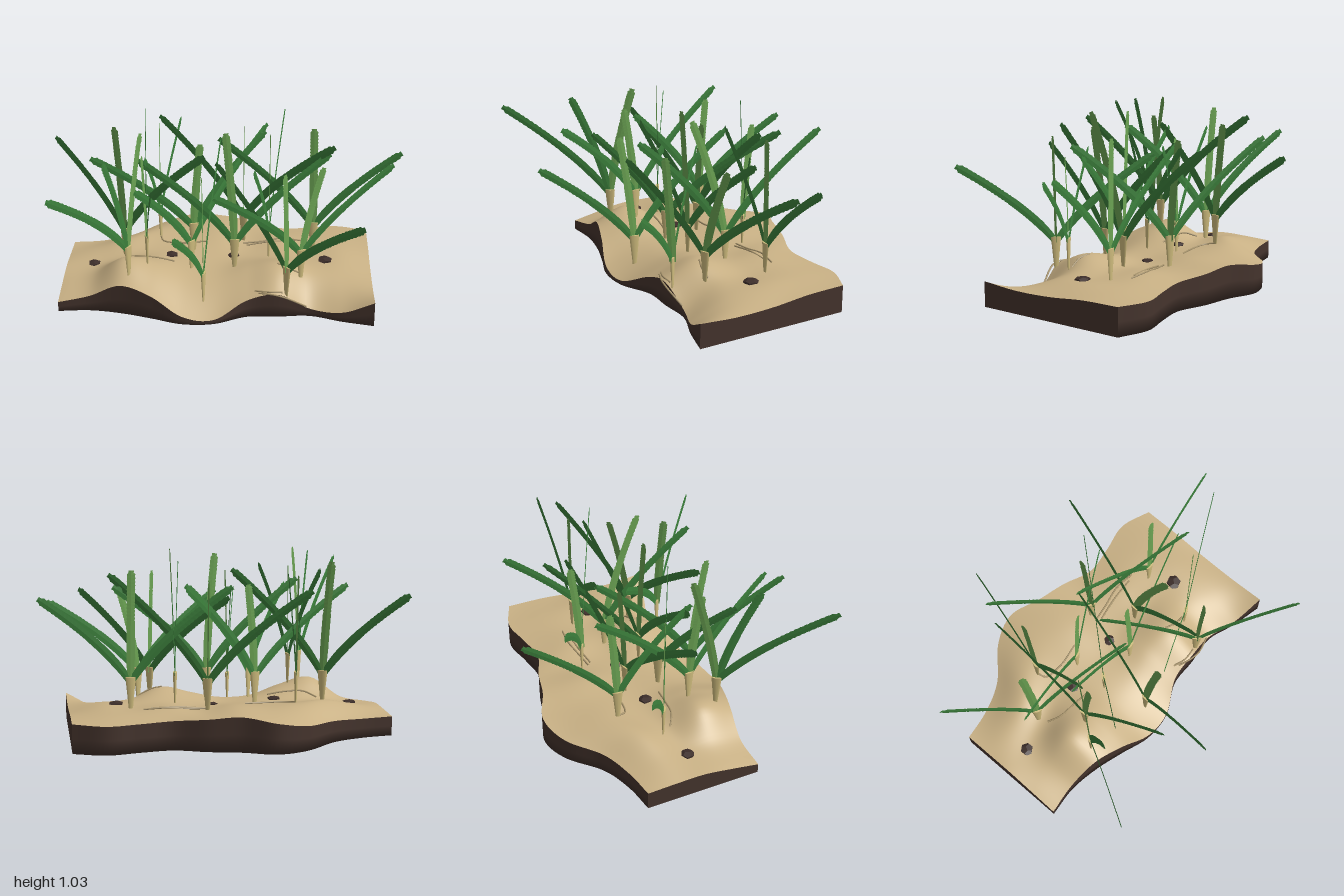
import * as THREE from 'three';
import { mergeGeometries, mergeVertices } from 'three/addons/utils/BufferGeometryUtils.js';

const mat = (name, color, side = THREE.FrontSide) => {
  const m = new THREE.MeshStandardMaterial({ color, side });
  m.name = name;
  return m;
};
const sand = mat('sand', 0xc9b185);
const soil = mat('soil', 0x45342d);
const green = mat('leafGreen', 0x3c803c, THREE.DoubleSide);
const light = mat('youngLeafGreen', 0x6ba353, THREE.DoubleSide);
const sheathMat = mat('sheath', 0xd0bd7e);
const rootMat = mat('root', 0xa8946c);
const stoneMat = mat('stone', 0x3d2e2a);

// Uniform Catmull-Rom through a short row of values, u in 0..1
function spline(a, u) {
  const n = a.length - 1, f = Math.min(Math.max(u, 0), 1) * n;
  const i = Math.min(Math.floor(f), n - 1), t = f - i;
  const p1 = a[i], p2 = a[i + 1];
  const p0 = i > 0 ? a[i - 1] : 2 * p1 - p2, p3 = i + 2 <= n ? a[i + 2] : 2 * p2 - p1;
  return p1 + 0.5 * t * (p2 - p0 + t * (2 * p0 - 5 * p1 + 4 * p2 - p3 + t * (3 * (p1 - p2) + p3 - p0)));
}

// Ground outline and heights, sampled evenly along x
const X0 = -0.9, X1 = 0.825, FLOOR = 0.045;
const backZ = [-0.36, -0.39, -0.46, -0.61, -0.665, -0.6, -0.56, -0.5, -0.52, -0.55, -0.49];
const frontZ = [0.28, 0.265, 0.29, 0.34, 0.395, 0.385, 0.3, 0.29, 0.275, 0.33, 0.37];
const heights = [ // rows from back to front
  [0.15, 0.15, 0.16, 0.175, 0.205, 0.23, 0.215, 0.2, 0.195, 0.195, 0.2],
  [0.155, 0.19, 0.23, 0.235, 0.23, 0.235, 0.21, 0.225, 0.215, 0.21, 0.195],
  [0.155, 0.17, 0.2, 0.21, 0.21, 0.2, 0.2, 0.215, 0.205, 0.21, 0.175],
  [0.13, 0.17, 0.285, 0.25, 0.19, 0.18, 0.225, 0.26, 0.2, 0.18, 0.17],
  [0.1, 0.135, 0.215, 0.18, 0.09, 0.07, 0.145, 0.18, 0.09, 0.1, 0.185],
];
function ground(u, t) {
  const zb = spline(backZ, u), zf = spline(frontZ, u);
  return [X0 + (X1 - X0) * u, spline(heights.map(r => spline(r, u)), t), zb + (zf - zb) * t];
}
function groundY(x, z) {
  const u = (x - X0) / (X1 - X0), zb = spline(backZ, u), zf = spline(frontZ, u);
  return ground(u, (z - zb) / (zf - zb))[1];
}

// Grid surface from a rule f(u, v)
function sheet(f, nu, nv) {
  const pos = [], idx = [];
  for (let j = 0; j <= nv; j++) for (let i = 0; i <= nu; i++) pos.push(...f(i / nu, j / nv));
  for (let j = 0; j < nv; j++) for (let i = 0; i < nu; i++) {
    const a = j * (nu + 1) + i, b = a + 1, c = a + nu + 1, d = c + 1;
    idx.push(a, c, b, b, c, d);
  }
  const g = new THREE.BufferGeometry();
  g.setAttribute('position', new THREE.Float32BufferAttribute(pos, 3));
  g.setIndex(idx);
  g.computeVertexNormals();
  return g;
}
function add(parent, name, geo, material) {
  const m = new THREE.Mesh(geo, material);
  m.name = name;
  parent.add(m);
  return m;
}

function buildGround(root) {
  const g = new THREE.Group();
  g.name = 'seabed';
  root.add(g);
  add(g, 'sandTop', sheet(ground, 80, 48), sand);
  // Walls are welded to the underside so the long edges shade softly
  const drop = (p, v) => [p[0], p[1] + (FLOOR - p[1]) * v, p[2]];
  const long = [
    sheet((u, v) => drop(ground(u, 1), v), 80, 2),
    sheet((u, v) => drop(ground(1 - u, 0), v), 80, 2),
    sheet((u, v) => drop(ground(1 - u, v), 1), 80, 3),
  ];
  long.forEach(s => s.deleteAttribute('normal'));
  const body = mergeVertices(mergeGeometries(long), 1e-4);
  body.computeVertexNormals();
  add(g, 'soilBody', body, soil);
  add(g, 'leftEndWall', sheet((u, v) => drop(ground(1, 1 - u), v), 48, 2), soil);
  add(g, 'rightEndWall', sheet((u, v) => drop(ground(0, u), v), 48, 2), soil);
}

// Upright ribbon curving from the sheath to its tip, thin lens section, finely toothed end
function leafGeometry(base, tip, yaw, width) {
  const out = Math.hypot(tip.x - base.x, tip.z - base.z);
  const curve = new THREE.QuadraticBezierCurve3(
    base,
    new THREE.Vector3().lerpVectors(base, tip, 0.27).setY(base.y + (tip.y - base.y) * 0.46), tip);
  const dir = out > 0.025
    ? new THREE.Vector3((tip.x - base.x) / out, 0, (tip.z - base.z) / out)
    : new THREE.Vector3(Math.cos(yaw), 0, -Math.sin(yaw));
  const N = 64;
  const g = sheet((u, v) => {
    const p = curve.getPoint(v), t = curve.getTangent(v);
    const along = t.dot(dir), len = Math.hypot(along, t.y);
    let w = width * (0.75 + 0.25 * Math.min(1, v * 4));
    if (v > 0.55 && Math.round(v * N) % 2) w *= 0.88;
    if (v > 0.98) w *= 0.65;
    const s = Math.cos(u * Math.PI * 2) * w / 2, n = Math.sin(u * Math.PI * 2) * 0.002;
    return [p.x + dir.x * s * t.y / len - dir.z * n, p.y - s * along / len, p.z + dir.z * s * t.y / len + dir.x * n];
  }, 4, N).toNonIndexed();
  g.computeVertexNormals();
  return g;
}

// Each plant: base x, z, then two outer leaf tips and the young upright ones
const plants = [
  [-0.57, -0.12, [-0.98, 0.81, -0.38], [-0.1, 0.91, 0.12], [-0.61, 0.97, -0.14]],
  [-0.51, 0.22, [-0.84, 0.91, 0.73], [-0.6, 0.98, 0.41], [-0.44, 1.03, 0.1]],
  [-0.38, -0.3, [-0.29, 0.79, -0.78], [-0.42, 0.88, 0.1], [-0.38, 0.92, -0.34]],
  [-0.18, -0.17, [-0.73, 0.83, -0.02], [0.22, 0.88, -0.34], [-0.14, 0.86, -0.18]],
  [-0.1, 0.27, [-0.22, 0.73, 0.77], [-0.03, 0.85, -0.27], [-0.1, 0.88, 0.35]],
  [0.06, 0.02, [-0.46, 0.86, 0.07], [0.58, 0.85, -0.09], [0.01, 1.01, 0.03]],
  [0.35, 0.27, [0.73, 0.75, 0.64], [-0.05, 0.78, -0.1], [0.33, 0.89, 0.3]],
  [0.43, 0.12, [0.93, 0.78, -0.12], [-0.04, 0.77, 0.34], [0.54, 0.83, 0.05]],
  [0.5, -0.21, [0.98, 0.81, -0.22], [-0.04, 0.86, -0.27], [0.49, 0.95, -0.21]],
  [0.25, -0.11, [0.33, 0.9, -0.65], [0.17, 0.93, 0.37], [0.25, 1.03, 0.1]],
  [-0.42, 0.1, [-0.47, 0.96, -0.45], [-0.34, 0.89, 0.58], [-0.43, 0.92, 0.16]],
  [0.1, -0.31, [-0.4, 0.87, -0.59], [0.6, 0.91, -0.04], [0.1, 0.9, -0.36]],
  [-0.18, 0.03, [-0.45, 0.8, 0.35], [0.23, 0.88, -0.46]],
];
function buildPlant(root, [x, z, ...tips], i) {
  const g = new THREE.Group();
  g.name = 'seagrassPlant' + (i + 1);
  root.add(g);
  const y = groundY(x, z), h = 0.18;
  const yaw = Math.atan2(-(tips[0][2] - z), tips[0][0] - x);
  // Flattened sheath that widens upward
  const sheath = add(g, 'sheath', new THREE.CylinderGeometry(0.029, 0.011, h, 10), sheathMat);
  sheath.position.set(x, y + h / 2 - 0.01, z);
  sheath.rotation.y = yaw;
  sheath.scale.z = 0.4;
  const base = new THREE.Vector3(x, y + h - 0.04, z);
  tips.forEach((t, k) => add(g, k < 2 ? 'outerLeaf' : 'youngLeaf',
    leafGeometry(base, new THREE.Vector3(...t), yaw, 0.046), k < 2 ? green : light));
}

function tube(root, name, points, r) {
  const curve = new THREE.CatmullRomCurve3(points.map(p => new THREE.Vector3(...p)));
  add(root, name, new THREE.TubeGeometry(curve, 24, r, 6), rootMat);
}

export function createModel() {
  const model = new THREE.Group();
  model.name = 'seagrassMeadow';
  buildGround(model);
  plants.forEach((p, i) => buildPlant(model, p, i));

  // Runners lying on the sand
  const runners = [
    [[-0.38, -0.3], [-0.36, -0.25], [-0.25, -0.235], [-0.11, -0.255]],
    [[0.1, -0.27], [0.2, -0.285], [0.32, -0.305], [0.44, -0.295]],
    [[0.12, -0.25], [0.25, -0.27], [0.4, -0.28]],
    [[-0.55, -0.07], [-0.48, -0.03], [-0.38, -0.02], [-0.28, -0.01]],
    [[0.3, 0.08], [0.36, 0.1], [0.43, 0.1]],
    [[0.18, 0.25], [0.25, 0.275], [0.33, 0.27]],
    [[0.2, 0.27], [0.28, 0.3], [0.34, 0.305], [0.46, 0.27]],
  ];
  for (const r of runners) tube(model, 'runner', r.map(([x, z]) => [x, groundY(x, z) + 0.003, z]), 0.005);

  // Roots showing below the soil
  tube(model, 'hangingRoot', [[0.2, 0.06, 0.12], [0.27, 0.03, 0.11], [0.36, 0.008, 0.1], [0.43, 0.022, 0.1], [0.45, 0.06, 0.11]], 0.007);
  for (let i = -2; i <= 2; i++)
    tube(model, 'rootlet', [[-0.09, 0.06, 0.27], [-0.09 + i * 0.01, 0.035, 0.275], [-0.09 + i * 0.02, 0.018, 0.27 + (i % 2) * 0.025]], 0.0025);

  // Half-buried stones
  for (const [x, z, r] of [[-0.74, -0.06, 0.038], [-0.3, -0.1, 0.038], [0.05, -0.13, 0.033], [0.57, -0.08, 0.044]]) {
    const s = add(model, 'stone', new THREE.DodecahedronGeometry(r, 0), stoneMat);
    s.position.set(x, groundY(x, z) + 0.002, z);
    s.scale.y = 0.35;
    s.rotation.y = x * 7;
  }
  return model;
}
